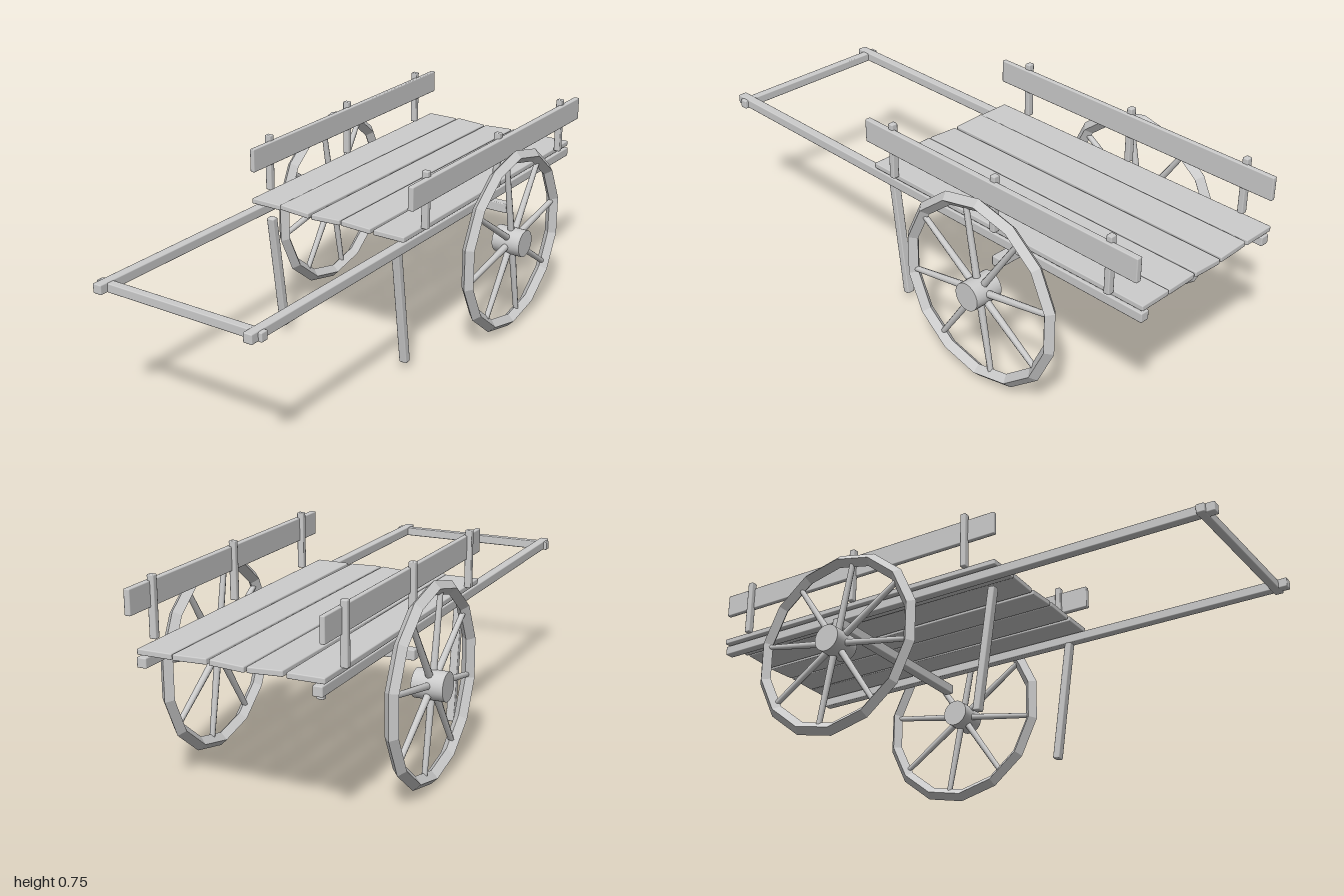
import * as THREE from 'three';
import { RoundedBoxGeometry } from 'three/addons/geometries/RoundedBoxGeometry.js';

export function createModel() {
  const cart = new THREE.Group();
  cart.name = 'handcart';
  const wood = new THREE.MeshStandardMaterial({ color: 0xcccccc });
  wood.name = 'paleWood';

  const add = (parent, name, geometry, x = 0, y = 0, z = 0) => {
    const mesh = new THREE.Mesh(geometry, wood);
    mesh.name = name;
    mesh.position.set(x, y, z);
    parent.add(mesh);
    return mesh;
  };
  // Timber with slightly softened edges
  const beam = (name, w, h, d, x, y, z) =>
    add(cart, name, new RoundedBoxGeometry(w, h, d, 1, 0.004), x, y, z);

  // Frame: long shafts, handle and axle beam
  for (const s of [-1, 1]) beam('shaft', 0.034, 0.034, 2, s * 0.298, 0.504, 0);
  beam('handle', 0.656, 0.032, 0.03, 0, 0.502, 0.955);
  beam('axleBeam', 0.72, 0.036, 0.036, 0, 0.458, -0.437);

  // Slightly crooked deck planks: x, width, height, roll, yaw
  const planks = [
    [-0.259, 0.125, 0.538, 0, 0.003],
    [-0.131, 0.122, 0.538, -0.05, -0.007],
    [-0.001, 0.12, 0.537, 0.05, -0.004],
    [0.125, 0.12, 0.539, -0.03, -0.005],
    [0.254, 0.122, 0.538, 0, 0.004],
  ];
  for (const [x, w, y, roll, yaw] of planks) {
    beam('deckPlank', w, 0.02, 1.2, x, y, -0.4).rotation.set(0, yaw, roll);
  }

  // Side posts and boards
  for (const s of [-1, 1]) {
    for (const z of [0.083, -0.398, -0.88]) {
      beam('sidePost', 0.025, 0.206, 0.022, s * 0.328, 0.647, z);
    }
  }
  beam('rightSideBoard', 0.018, 0.085, 1.2, -0.315, 0.688, -0.4);
  beam('leftSideBoard', 0.022, 0.085, 1.2, 0.34, 0.688, -0.4);

  // Leaning legs
  for (const s of [-1, 1]) {
    beam('leg', 0.03, 0.445, 0.026, s * 0.264, 0.253, 0.13).rotation.x = 0.135;
  }

  // Wheels: faceted diamond rim, round hub, eight spokes
  const rim = new THREE.TorusGeometry(0.321, 0.024, 4, 14)
    .rotateZ(Math.PI / 2).rotateY(Math.PI / 2).toNonIndexed();
  rim.computeVertexNormals();
  const hub = new THREE.CylinderGeometry(0.05, 0.05, 0.11, 24).rotateZ(Math.PI / 2);
  const spoke = new THREE.CylinderGeometry(0.01, 0.013, 0.28, 8).translate(0, 0.17, 0);
  for (const s of [-1, 1]) {
    const wheel = new THREE.Group();
    wheel.name = s > 0 ? 'leftWheel' : 'rightWheel';
    wheel.position.set(s * 0.4, 0.35, -0.4);
    cart.add(wheel);
    add(wheel, 'rim', rim);
    add(wheel, 'hub', hub);
    for (let i = 0; i < 8; i++) {
      add(wheel, 'spoke', spoke).rotation.x = 0.19 + i * Math.PI / 4;
    }
  }
  return cart;
}
